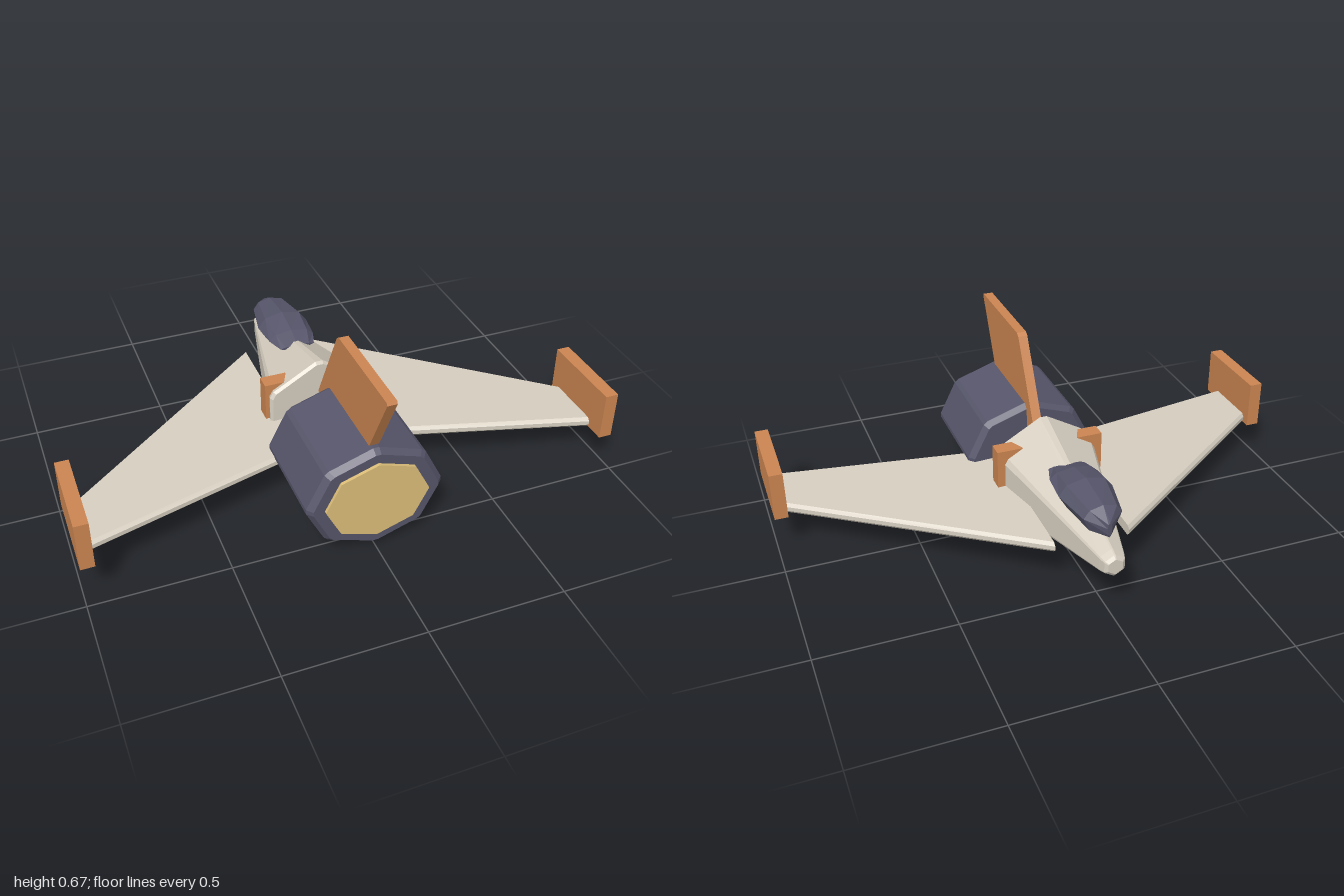
import * as THREE from 'three';

const material = (color) => new THREE.MeshStandardMaterial({ color, flatShading: true });
const HULL = material(0xd6cec0), DARK = material(0x56556a), ORANGE = material(0xcc8652), GLOW = material(0xdcbe78);

// Skins a row of rings (each a list of [x, y, z]) and closes both ends.
function loft(rings) {
  const pos = [];
  const tri = (a, b, c) => pos.push(...a, ...b, ...c);
  const n = rings[0].length;
  for (let k = 0; k < rings.length - 1; k++) {
    const a = rings[k], b = rings[k + 1];
    for (let i = 0; i < n; i++) {
      const j = (i + 1) % n;
      tri(a[i], a[j], b[j]);
      tri(a[i], b[j], b[i]);
    }
  }
  const first = rings[0], last = rings[rings.length - 1];
  for (let i = 1; i < n - 1; i++) {
    tri(first[0], first[i + 1], first[i]);
    tri(last[0], last[i], last[i + 1]);
  }
  const geometry = new THREE.BufferGeometry();
  geometry.setAttribute('position', new THREE.Float32BufferAttribute(pos, 3));
  geometry.computeVertexNormals();
  return geometry;
}

// Polygon ring facing z, one corner up, with each corner cut off by a share of the side.
function polygonRing(sides, rx, ry, cy, z, cut) {
  const corner = (i) => {
    const a = Math.PI / 2 + (i / sides) * Math.PI * 2;
    return [Math.cos(a) * rx, cy + Math.sin(a) * ry, z];
  };
  const ring = [];
  for (let i = 0; i < sides; i++) {
    const c = corner(i);
    for (const next of [corner(i - 1), corner(i + 1)]) {
      ring.push(c.map((v, k) => v + (next[k] - v) * cut));
    }
  }
  return ring;
}

// Flat bevelled wing section at x: leading edge, trailing edge and middle height.
function wingRing(x, lead, trail, y) {
  const h = 0.02, b = 0.012;
  return [
    [-h, lead + b], [-h + b, lead], [h - b, lead], [h, lead + b],
    [h, trail - b], [h - b, trail], [-h + b, trail], [-h, trail - b],
  ].map(([dy, z]) => [x, y + dy, z]);
}

export function createModel() {
  const model = new THREE.Group();
  const add = (name, geometry, mat, x = 0, y = 0, z = 0) => {
    const mesh = new THREE.Mesh(geometry, mat);
    mesh.name = name;
    mesh.position.set(x, y, z);
    model.add(mesh);
  };

  // Tapered six-sided fuselage, nose towards -z
  const hull = [[-0.655, 0.03], [-0.645, 0.043], [-0.62, 0.052], [0.02, 0.223], [0.03, 0.212]];
  add('fuselage', loft(hull.map(([z, r]) => polygonRing(6, r, r, 0.222, z, 0.07))), HULL);

  // Faceted canopy: z, half width, top, middle, bottom
  const canopy = [
    [-0.6, 0.008, 0.362, 0.34, 0.305], [-0.54, 0.07, 0.396, 0.355, 0.287],
    [-0.39, 0.1, 0.414, 0.36, 0.29], [-0.28, 0.09, 0.394, 0.36, 0.322],
    [-0.212, 0.068, 0.367, 0.36, 0.35],
  ];
  add('canopy', loft(canopy.map(([z, w, top, mid, bottom]) => {
    const ring = [];
    for (let i = 0; i < 8; i++) {
      const a = (i / 8) * Math.PI * 2, s = Math.sin(a);
      ring.push([Math.cos(a) * w, mid + s * (s > 0 ? top - mid : mid - bottom), z]);
    }
    return ring;
  })), DARK);

  // Eight-sided engine with bevelled ends, and its glowing nozzle
  const engine = [[0.15, 0.92], [0.172, 1], [0.548, 1], [0.57, 0.92]];
  add('engine', loft(engine.map(([z, s]) => polygonRing(8, 0.254 * s, 0.208 * s, 0.22, z, 0.06))), DARK);
  add('nozzle', loft([0.5, 0.582].map((z) => polygonRing(8, 0.19, 0.153, 0.222, z, 0.01))), GLOW);

  // Swept tail fin
  const fin = [[0.335, 0.06], [0.67, 0.235], [0.68, 0.25], [0.68, 0.65], [0.67, 0.655], [0.335, 0.485]];
  add('tailFin', loft([-0.018, 0.018].map((x) => fin.map(([y, z]) => [x, y, z]))), ORANGE);

  for (const [side, s] of [['left', 1], ['right', -1]]) {
    // Swept wing drooping towards the tip
    const rings = [wingRing(0.138 * s, -0.46, 0.215, 0.2), wingRing(0.96 * s, 0.172, 0.402, 0.164)];
    add(side + 'Wing', loft(s > 0 ? rings : rings.reverse()), HULL);
    add(side + 'WingTipPlate', new THREE.BoxGeometry(0.05, 0.186, 0.342), ORANGE, 0.975 * s, 0.241, 0.303);
    // Block on the flank of the fuselage
    add(side + 'FlankBlock', new THREE.BoxGeometry(0.098, 0.27, 0.058), ORANGE, 0.156 * s, 0.23, -0.024);
  }
  return model;
}
